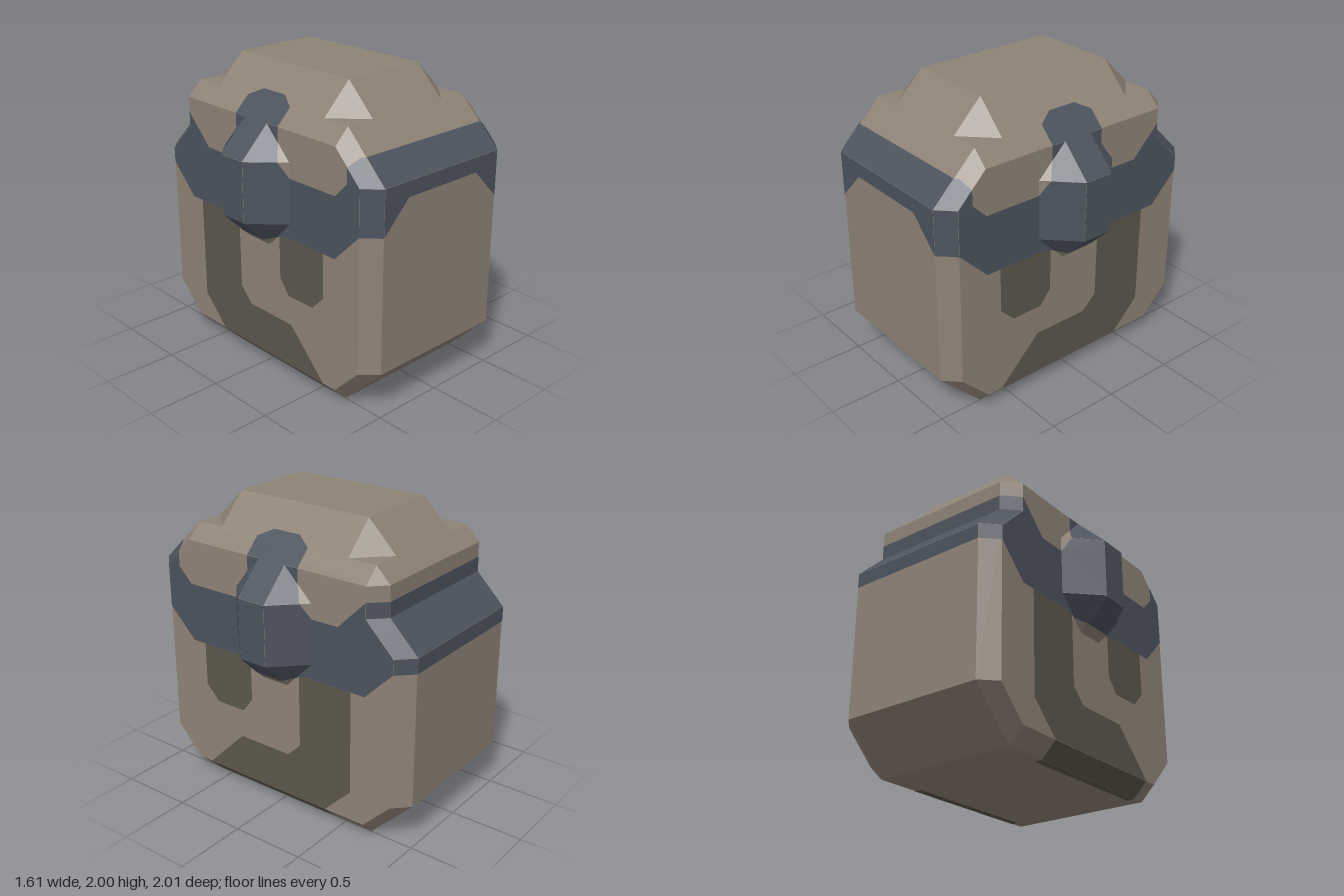
import * as THREE from 'three';

const brown = new THREE.MeshStandardMaterial({ color: 0x8e8275 });
brown.name = 'brown';
const slate = new THREE.MeshStandardMaterial({ color: 0x4c535e });
slate.name = 'slate';
const olive = new THREE.MeshStandardMaterial({ color: 0x5c574c });
olive.name = 'olive';

const V = (x, y, z) => new THREE.Vector3(x, y, z);
const mirrorFace = (f) => f.map((p) => V(-p.x, p.y, p.z));
const withMirror = (faces) => [...faces, ...faces.map(mirrorFace)];

// A face polygon without repeated corners, wound to point away from the middle
function outward(face) {
  const f = face.filter((p, i) => p.distanceTo(face[(i + 1) % face.length]) > 1e-5);
  const c = f.reduce((s, p) => s.add(p), V(0, 0, 0)).divideScalar(f.length);
  if (normalOf(f).dot(c.sub(V(0, 1, 0))) < 0) f.reverse();
  return f;
}

function normalOf(f) {
  return f[1].clone().sub(f[0]).cross(f[2].clone().sub(f[0])).normalize();
}

function facesMesh(name, faces, material) {
  const pos = [];
  for (const f of faces) {
    for (let i = 1; i < f.length - 1; i++) {
      for (const p of [f[0], f[i], f[i + 1]]) pos.push(p.x, p.y, p.z);
    }
  }
  const g = new THREE.BufferGeometry();
  g.setAttribute('position', new THREE.Float32BufferAttribute(pos, 3));
  g.computeVertexNormals();
  const m = new THREE.Mesh(g, material);
  m.name = name;
  return m;
}

// Cuts a face to a convex region seen along one axis (u = 'z' or 'x', v = y)
function clip(face, region, u) {
  const cu = region.reduce((s, r) => s + r[0], 0) / region.length;
  const cv = region.reduce((s, r) => s + r[1], 0) / region.length;
  let out = face;
  region.forEach((a, i) => {
    const b = region[(i + 1) % region.length];
    const side = (pu, pv) => (b[0] - a[0]) * (pv - a[1]) - (b[1] - a[1]) * (pu - a[0]);
    const sign = Math.sign(side(cu, cv));
    const next = [];
    out.forEach((p, k) => {
      const q = out[(k + 1) % out.length];
      const dp = sign * side(p[u], p.y);
      const dq = sign * side(q[u], q.y);
      if (dp >= 0) next.push(p);
      if (dp * dq < 0) next.push(p.clone().lerp(q, dp / (dp - dq)));
    });
    out = next;
  });
  return out;
}

// Paint pieces lifted a hair off the faces they lie on
function paint(faces, regions, u, accepts) {
  const pieces = [];
  for (const f of faces) {
    const n = normalOf(f);
    if (!accepts(n)) continue;
    for (const r of regions) {
      const piece = clip(f, r, u);
      if (piece.length > 2) pieces.push(piece.map((p) => p.clone().addScaledVector(n, 0.003)));
    }
  }
  return pieces;
}

// Body: side profile as [z, y], at x = 0.5 and inset at x = 0.6
const outer = [[0.7, 1.8], [1, 1.5], [1, 0.3], [0.7, 0], [-0.7, 0], [-1, 0.3], [-1, 1.3], [-0.8, 1.5], [-0.8, 1.7], [-0.7, 1.8]];
const inner = [[0.7, 1.7], [0.9, 1.5], [0.9, 0.3], [0.7, 0.1], [-0.7, 0.1], [-0.9, 0.3], [-0.9, 1.3], [-0.7, 1.5], [-0.7, 1.7], [-0.7, 1.7]];

function bodyFaces() {
  const at = (x, [z, y]) => V(x, y, z);
  const middle = [], side = [];
  outer.forEach((a, i) => {
    const j = (i + 1) % outer.length;
    if (j > 0) middle.push([at(-0.5, a), at(0.5, a), at(0.5, outer[j]), at(-0.5, outer[j])]);
    side.push([at(0.5, a), at(0.6, inner[i]), at(0.6, inner[j]), at(0.5, outer[j])]);
  });
  side.push([0, 1, 7, 8].map((i) => at(0.6, inner[i])));
  side.push([1, 2, 3, 4, 5, 6, 7].map((i) => at(0.6, inner[i])));
  return [...middle, ...withMirror(side)].map(outward);
}

// Crown: raised top with cut corners and small ledges
function crownFaces() {
  const faces = [[V(-0.3, 2, 0.5), V(0.3, 2, 0.5), V(0.3, 2, -0.5), V(-0.3, 2, -0.5)]];
  for (const s of [1, -1]) {
    faces.push([V(-0.3, 2, 0.5 * s), V(0.3, 2, 0.5 * s), V(0.3, 1.8, 0.7 * s), V(-0.3, 1.8, 0.7 * s)]);
    faces.push([V(0.3 * s, 2, 0.5), V(0.3 * s, 2, -0.5), V(0.5 * s, 1.8, -0.5), V(0.5 * s, 1.8, 0.5)]);
    const b = V(0.5, 1.8, 0.5 * s), c = V(0.3, 1.8, 0.7 * s);
    faces.push(...withMirror([[V(0.3, 2, 0.5 * s), b, c], [b, c, V(0.5, 1.8, 0.7 * s)]]));
  }
  return faces.map(outward);
}

// Side knob: small outer plate sloping back to an octagon on the body
function knobFaces() {
  const faces = [[V(0.8, 1.5, 0.1), V(0.8, 1.5, -0.1), V(0.8, 1.1, -0.1), V(0.8, 1.1, 0.1)]];
  for (const s of [1, -1]) {
    faces.push([V(0.8, 1.5, 0.1 * s), V(0.8, 1.1, 0.1 * s), V(0.6, 1.1, 0.3 * s), V(0.6, 1.5, 0.3 * s)]);
    const y = 1.3 + 0.2 * s, tip = 1.3 + 0.4 * s;
    faces.push([V(0.8, y, 0.1), V(0.8, y, -0.1), V(0.6, tip, -0.1), V(0.6, tip, 0.1)]);
    for (const t of [1, -1]) faces.push([V(0.8, y, 0.1 * t), V(0.6, y, 0.3 * t), V(0.6, tip, 0.1 * t)]);
  }
  return faces.map(outward);
}

// Band regions on the sides as [z, y]
const sideBand = [
  [[0.7, 1], [-0.7, 1], [-1.1, 1.4], [1.1, 1.4]],
  [[0.9, 1.2], [1.1, 1.2], [1.1, 1.4], [0.9, 1.4]],
  [[-0.9, 1.2], [-1.1, 1.2], [-1.1, 1.4], [-0.9, 1.4]],
  [[0.7, 1.4], [1.1, 1.4], [1.1, 1.5], [0.8, 1.5]],
  [[0.8, 1.5], [1.1, 1.5], [1.1, 1.65], [0.83, 1.65], [0.8, 1.6]],
  [[-0.5, 1.4], [-0.7, 1.6], [-1.1, 1.6], [-1.1, 1.4]],
  [[0.3, 1.4], [-0.3, 1.4], [-0.2, 1.6], [0.2, 1.6]],
  [[0.2, 1.6], [-0.2, 1.6], [-0.2, 1.8], [-0.1, 1.85], [0.1, 1.85], [0.2, 1.8]],
  [[0.25, 1], [-0.25, 1], [-0.1, 0.95], [0.1, 0.95]],
];

// Band regions on the front and back as [x, y]
const frontBand = [
  [[-0.6, 1.4], [0.6, 1.4], [0.6, 1.65], [-0.6, 1.65]],
  ...[1, -1].map((s) => [[0.3 * s, 1.4], [0.5 * s, 1.2], [0.6 * s, 1.2], [0.6 * s, 1.4]]),
];
const backBand = [[[-0.6, 1.2], [0.6, 1.2], [0.6, 1.6], [-0.6, 1.6]]];

// Lower panels on the sides as [z, y]
const sidePanels = [
  [[0.6, 1], [0.2, 1], [0.2, 0.7], [0.28, 0.6], [0.5, 0.6], [0.6, 0.7]],
  [[-0.2, 1], [-0.6, 1], [-0.6, 0.4], [-0.2, 0.4]],
  [[-0.2, 0.5], [-0.1, 0.4], [-0.2, 0.4]],
  [[0.3, 0.4], [-0.6, 0.4], [-0.6, 0.3], [-0.4, 0.1], [0.6, 0.1]],
  [[0.6, 0.1], [-0.4, 0.1], [-0.4, -0.01], [0.6, -0.01]],
];

export function createModel() {
  const group = new THREE.Group();
  group.name = 'model';
  const body = bodyFaces(), crown = crownFaces(), knob = knobFaces();
  const knobOther = knob.map(mirrorFace).map(outward);
  group.add(facesMesh('body', body, brown), facesMesh('crown', crown, brown));
  group.add(facesMesh('leftKnob', knob, brown), facesMesh('rightKnob', knobOther, brown));

  const all = [...body, ...crown, ...knob, ...knobOther];
  const isSide = (n) => Math.abs(n.x) > 0.3;
  group.add(facesMesh('sideBand', paint(all, sideBand, 'z', isSide), slate));
  group.add(facesMesh('frontBand', paint(body, frontBand, 'x', (n) => !isSide(n) && n.z > 0.3), slate));
  group.add(facesMesh('backBand', paint(body, backBand, 'x', (n) => !isSide(n) && n.z < -0.3), slate));
  group.add(facesMesh('sidePanels', paint(body, sidePanels, 'z', isSide), olive));

  // Panel edges folded under the base
  const strip = [V(0.5, -0.003, 0.6), V(0.5, -0.003, -0.4), V(0.45, -0.003, -0.4), V(0.45, -0.003, 0.6)];
  group.add(facesMesh('baseStrips', withMirror([strip]).map(outward), olive));
  return group;
}
